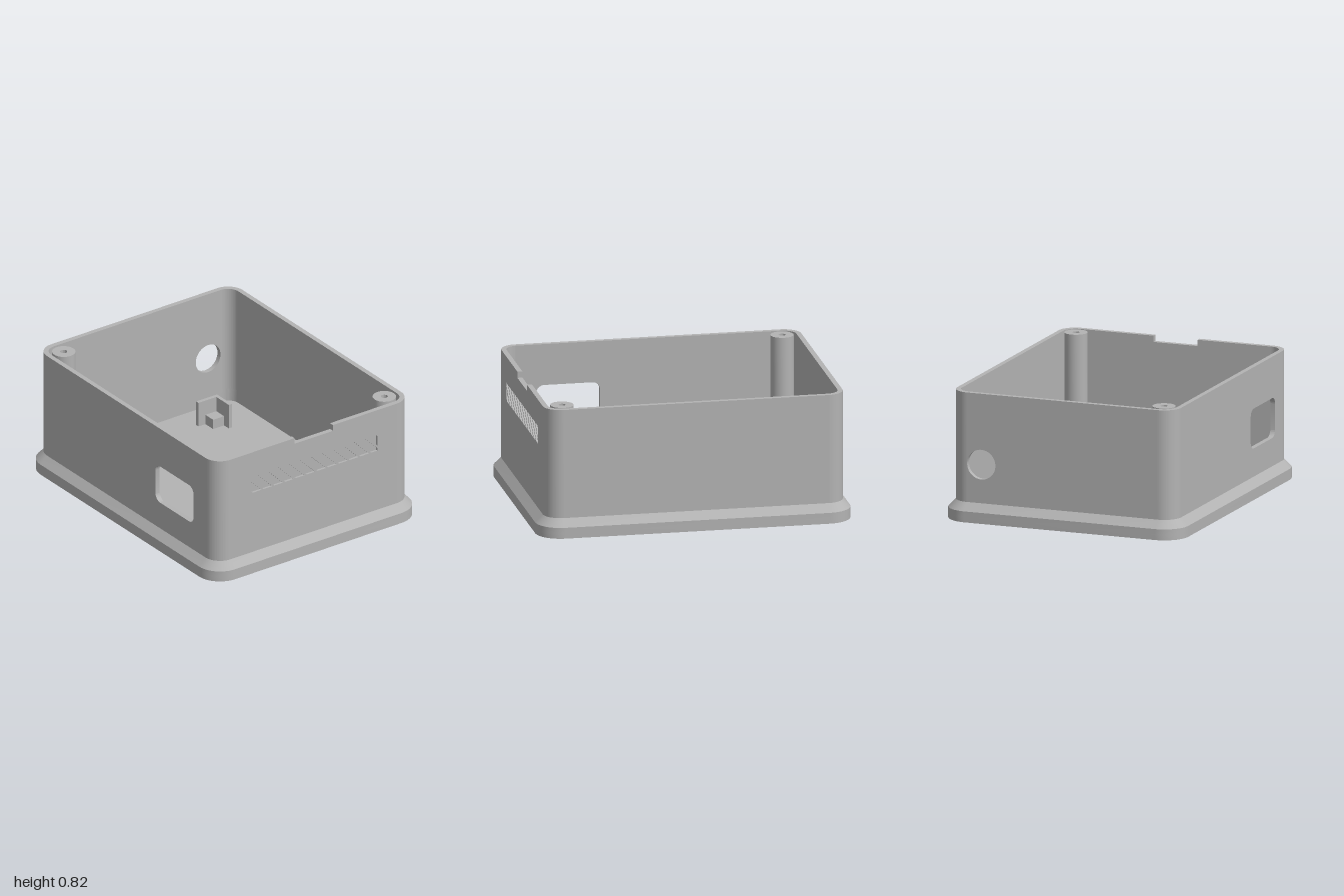
import * as THREE from 'three';
import { toCreasedNormals } from 'three/addons/utils/BufferGeometryUtils.js';

const TOP = 0.82, FLOOR = 0.035;
const HX = 0.8, HZ = 1, R = 0.16;      // base footprint and corner radius
const OUT = 0.048, IN = 0.08;          // insets of the wall's outer and inner faces
const CX = HX - R, CZ = HZ - R;        // corner centres, shared by all insets

// Rounded rectangle outline, inset from the base footprint
function outline(inset) {
  const pts = [], r = R - inset;
  [[1, 1], [-1, 1], [-1, -1], [1, -1]].forEach(([sx, sz], q) => {
    for (let i = 0; i <= 12; i++) {
      const a = (q + i / 12) * Math.PI / 2;
      pts.push(new THREE.Vector2(sx * CX + r * Math.cos(a), sz * CZ + r * Math.sin(a)));
    }
  });
  return pts;
}

// Sweep a profile of [inset, y] points around the rounded rectangle
function sweep(profile) {
  const rings = profile.map(([d, y]) => outline(d).map(p => [p.x, y, p.y]));
  const pos = [], n = rings[0].length;
  for (let k = 0; k + 1 < rings.length; k++) {
    for (let i = 0; i < n; i++) {
      const j = (i + 1) % n, A = rings[k], B = rings[k + 1];
      pos.push(...A[i], ...B[i], ...A[j], ...A[j], ...B[i], ...B[j]);
    }
  }
  const g = new THREE.BufferGeometry();
  g.setAttribute('position', new THREE.Float32BufferAttribute(pos, 3));
  return toCreasedNormals(g, 0.5);
}

const extrude = (shape, depth) =>
  toCreasedNormals(new THREE.ExtrudeGeometry(shape, { depth, bevelEnabled: false, curveSegments: 32 }), 0.5);

const polygon = (pts, Type = THREE.Shape) => new Type(pts.map(p => new THREE.Vector2(p[0], p[1])));

// Keep the part of a polygon where sign * (x - limit) >= 0
function clipX(pts, limit, sign) {
  const out = [];
  pts.forEach((a, i) => {
    const b = pts[(i + 1) % pts.length];
    const da = sign * (a[0] - limit), db = sign * (b[0] - limit);
    if (da >= 0) out.push(a);
    if (da * db < 0) {
      const t = da / (da - db);
      out.push([limit, a[1] + t * (b[1] - a[1])]);
    }
  });
  return out;
}

function roundedHole(x0, x1, y0, y1, r) {
  const h = new THREE.Path();
  h.absarc(x1 - r, y1 - r, r, 0, Math.PI / 2);
  h.absarc(x0 + r, y1 - r, r, Math.PI / 2, Math.PI);
  h.absarc(x0 + r, y0 + r, r, Math.PI, Math.PI * 1.5);
  h.absarc(x1 - r, y0 + r, r, Math.PI * 1.5, Math.PI * 2);
  h.closePath();
  return h;
}

export function createModel() {
  const model = new THREE.Group();
  model.name = 'enclosure';
  const grey = new THREE.MeshStandardMaterial({ color: 0xb3b3b3 });
  grey.name = 'grey plastic';
  const add = (name, geo, parent = model) => {
    const m = new THREE.Mesh(geo, grey);
    m.name = name;
    parent.add(m);
    return m;
  };

  // Floor slab and chamfered skirt
  add('floor', extrude(new THREE.Shape(outline(0)), FLOOR).rotateX(-Math.PI / 2));
  add('skirt', sweep([[0, FLOOR], [0, 0.07], [OUT, 0.12], [IN, 0.12], [IN, FLOOR]]));

  // Rounded wall corners
  const arc = new THREE.Shape();
  arc.absarc(0, 0, R - OUT, 0, Math.PI / 2);
  arc.absarc(0, 0, R - IN, Math.PI / 2, 0, true);
  arc.closePath();
  const cornerGeo = extrude(arc, TOP - FLOOR).rotateX(-Math.PI / 2);
  [[1, -1], [-1, -1], [-1, 1], [1, 1]].forEach(([sx, sz], i) => {
    const c = add('wallCorner', cornerGeo);
    c.position.set(sx * CX, FLOOR, sz * CZ);
    c.rotation.y = i * Math.PI / 2;
  });

  // Flat wall panels, extruded outward and turned to their side
  const panel = (name, shape, angle, from, to) => {
    const p = add(name, extrude(shape, to - from).translate(0, 0, from));
    p.rotation.y = angle;
  };
  const rect = w => polygon([[-w, FLOOR], [w, FLOOR], [w, TOP], [-w, TOP]]);

  panel('rightWall', rect(CZ), Math.PI / 2, HX - IN, HX - OUT);

  const portWall = rect(CZ);
  portWall.holes.push(roundedHole(0.31, 0.715, 0.3, 0.555, 0.05));
  panel('portWall', portWall, -Math.PI / 2, HX - IN, HX - OUT);

  const backWall = rect(CX);
  backWall.holes.push(new THREE.Path().absarc(-0.545, 0.367, 0.095, 0, Math.PI * 2));
  panel('backWall', backWall, Math.PI, HZ - IN, HZ - OUT);

  // Front wall with a rim notch; its outer layer carries shallow slanted grooves
  const front = () => polygon([[-CX, FLOOR], [CX, FLOOR], [CX, TOP], [0.148, TOP],
    [0.148, 0.78], [-0.148, 0.78], [-0.148, TOP], [-CX, TOP]]);
  const grooved = front();
  const y0 = 0.535, y1 = 0.65, h = y1 - y0, w = 0.066;
  for (let k = -2; k <= 10; k++) {
    const x = -0.418 + k * 0.0828;
    let p = [[x, y1], [x + w, y1], [x + w + h, y0], [x + h, y0]];
    p = clipX(clipX(p, -0.495, 1), 0.49, -1);
    if (p.length > 2) grooved.holes.push(polygon(p, THREE.Path));
  }
  const mid = HZ - OUT - 0.015;
  panel('frontWall', front(), 0, HZ - IN, mid);
  panel('frontGrooves', grooved, 0, mid, HZ - OUT);

  // Screw posts with pilot holes in two opposite corners
  const postProfile = [[0.073, FLOOR], [0.073, TOP], [0.022, TOP], [0.022, 0.5], [0, 0.5]]
    .map(p => new THREE.Vector2(p[0], p[1]));
  const postGeo = toCreasedNormals(new THREE.LatheGeometry(postProfile, 40), 0.5);
  for (const s of [-1, 1]) add('screwPost', postGeo).position.set(s * 0.632, 0, s * 0.828);

  // Corner brackets with a support block inside each angle
  for (const sx of [-1, 1]) for (const sz of [-1, 1]) {
    const g = new THREE.Group();
    g.name = 'boardBracket';
    model.add(g);
    const box = (name, x0, x1, z0, z1, top) => {
      add(name, new THREE.BoxGeometry(x1 - x0, top - FLOOR, z1 - z0), g)
        .position.set(sx * (x0 + x1) / 2, (top + FLOOR) / 2, sz * (z0 + z1) / 2 - 0.1);
    };
    box('bracketSide', 0.472, 0.495, 0.5, 0.657, 0.2);
    box('bracketEnd', 0.335, 0.472, 0.632, 0.657, 0.2);
    box('supportBlock', 0.388, 0.472, 0.55, 0.632, 0.1);
  }
  return model;
}
